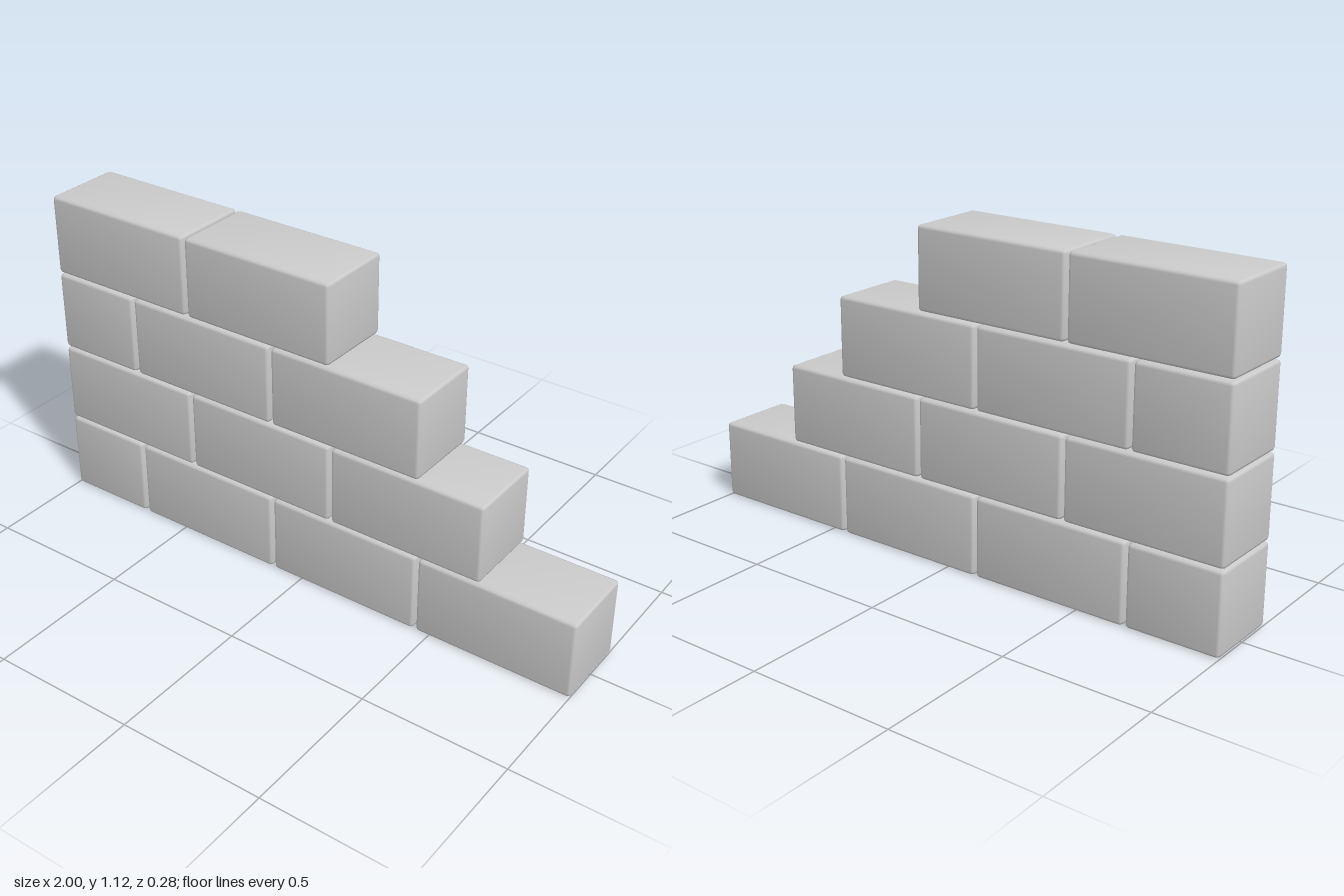
import * as THREE from 'three';
import { RoundedBoxGeometry } from 'three/addons/geometries/RoundedBoxGeometry.js';

const FULL = 0.55, HALF = 0.32, HEIGHT = 0.275, DEPTH = 0.275;
const JOINT = 0.0105, COURSE_PITCH = 0.2805, BEVEL = 0.012;

// Bevelled brick whose shading normals lean outwards a little, for a soft look
function brickGeometry(length) {
  const geometry = new RoundedBoxGeometry(length, HEIGHT, DEPTH, 1, BEVEL);
  const position = geometry.attributes.position;
  const normal = geometry.attributes.normal;
  const p = new THREE.Vector3(), n = new THREE.Vector3();
  for (let i = 0; i < position.count; i++) {
    p.fromBufferAttribute(position, i);
    n.fromBufferAttribute(normal, i);
    n.x += 0.1 * Math.sign(p.x);
    n.y += 0.1 * Math.sign(p.y);
    n.z += 0.1 * Math.sign(p.z);
    n.normalize();
    normal.setXYZ(i, n.x, n.y, n.z);
  }
  return geometry;
}

export function createModel() {
  const wall = new THREE.Group();
  wall.name = 'steppedBrickWall';
  const material = new THREE.MeshStandardMaterial({ color: 0xcccccc });
  const fullBrick = brickGeometry(FULL);
  const halfBrick = brickGeometry(HALF);

  // Courses from the ground up: alternate ones start with a half brick
  const courses = [
    { half: true, full: 3 },
    { half: false, full: 3 },
    { half: true, full: 2 },
    { half: false, full: 2 },
  ];
  courses.forEach(({ half, full }, row) => {
    const course = new THREE.Group();
    course.name = `course${row + 1}`;
    course.position.y = row * COURSE_PITCH + HEIGHT / 2;
    let x = -1;
    const lay = (geometry, length, name) => {
      const brick = new THREE.Mesh(geometry, material);
      brick.name = name;
      brick.position.x = x + length / 2;
      course.add(brick);
      x += length + JOINT;
    };
    if (half) lay(halfBrick, HALF, 'halfBrick');
    for (let i = 0; i < full; i++) lay(fullBrick, FULL, 'fullBrick');
    wall.add(course);
  });
  return wall;
}
